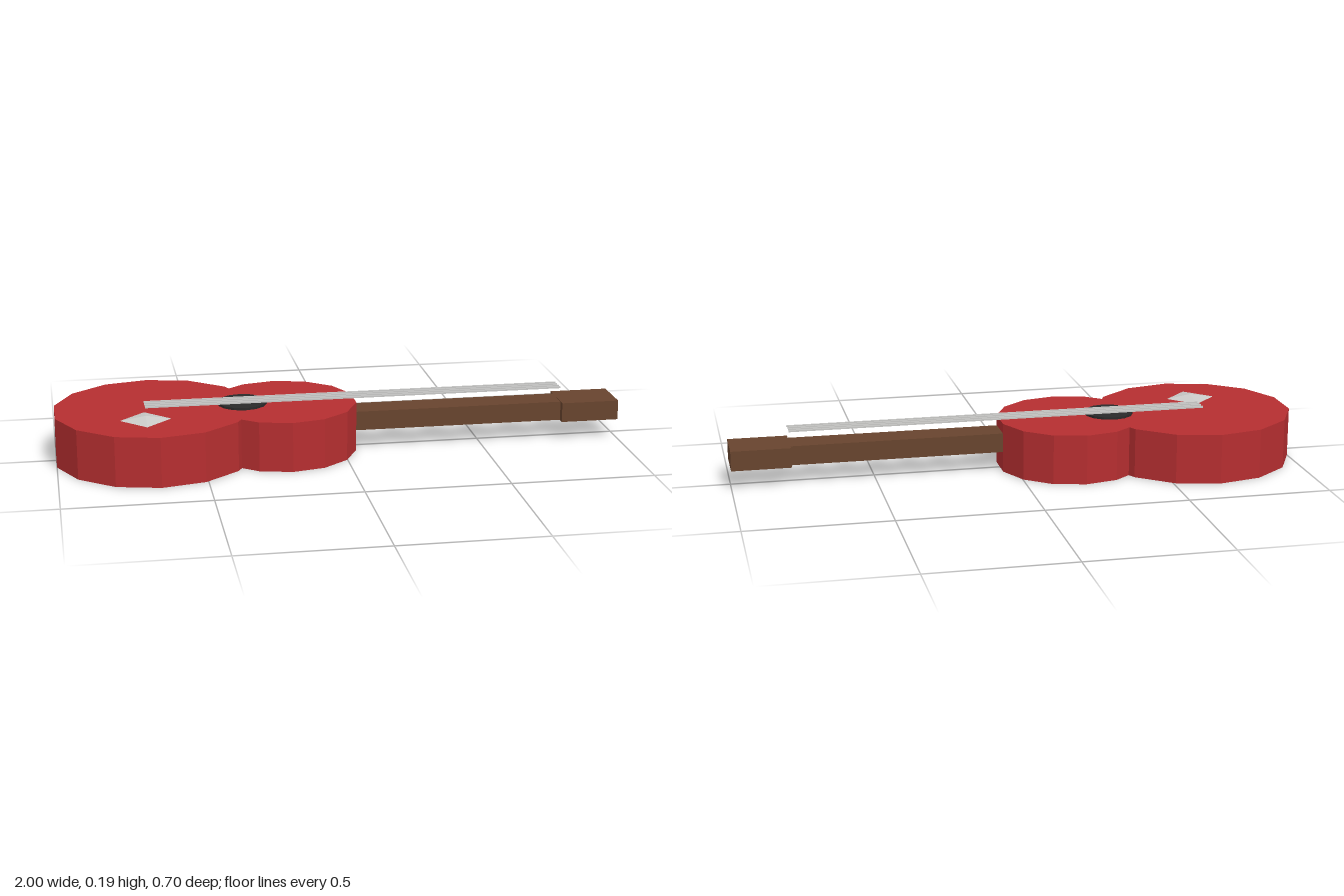
import * as THREE from 'three';

function material(name, color) {
  const m = new THREE.MeshStandardMaterial({ color });
  m.name = name;
  m.flatShading = true;
  return m;
}

export function createModel() {
  const group = new THREE.Group();
  group.name = 'guitar';

  const red = material('red lacquer', 0xb52e30);
  const brown = material('brown wood', 0x68442e);
  const black = material('black', 0x2a2a2a);
  const silver = material('silver', 0xcacac8);

  const add = (name, geometry, mat, x, y, z) => {
    const mesh = new THREE.Mesh(geometry, mat);
    mesh.name = name;
    mesh.position.set(x, y, z);
    group.add(mesh);
  };
  // Box given by its extent along x
  const bar = (name, mat, x0, x1, y, height, z, depth) =>
    add(name, new THREE.BoxGeometry(x1 - x0, height, depth), mat, (x0 + x1) / 2, y, z);

  // Body: two overlapping 14-sided drums
  const top = 0.175;
  add('lowerBout', new THREE.CylinderGeometry(0.349, 0.349, top, 14), red, -0.66, top / 2, 0);
  add('upperBout', new THREE.CylinderGeometry(0.26, 0.26, top, 14), red, -0.205, top / 2, 0);

  // Sound hole: a raised dark disc
  add('soundHole', new THREE.CylinderGeometry(0.087, 0.087, 0.008, 14), black, -0.348, top + 0.004, 0);

  // Control plate: a shallow four-sided pyramid
  add('controlPlate', new THREE.ConeGeometry(0.088, 0.014, 4), silver, -0.695, top + 0.007, 0.138);

  // Neck and head
  bar('neck', brown, 0, 0.793, 0.105, 0.068, 0, 0.106);
  bar('head', brown, 0.793, 1, 0.105, 0.07, 0, 0.155);

  // Strings
  for (let i = 0; i < 4; i++) {
    bar('string', silver, -0.69, 0.796, 0.187, 0.006, -0.031 + i * 0.021, 0.006);
  }

  return group;
}
